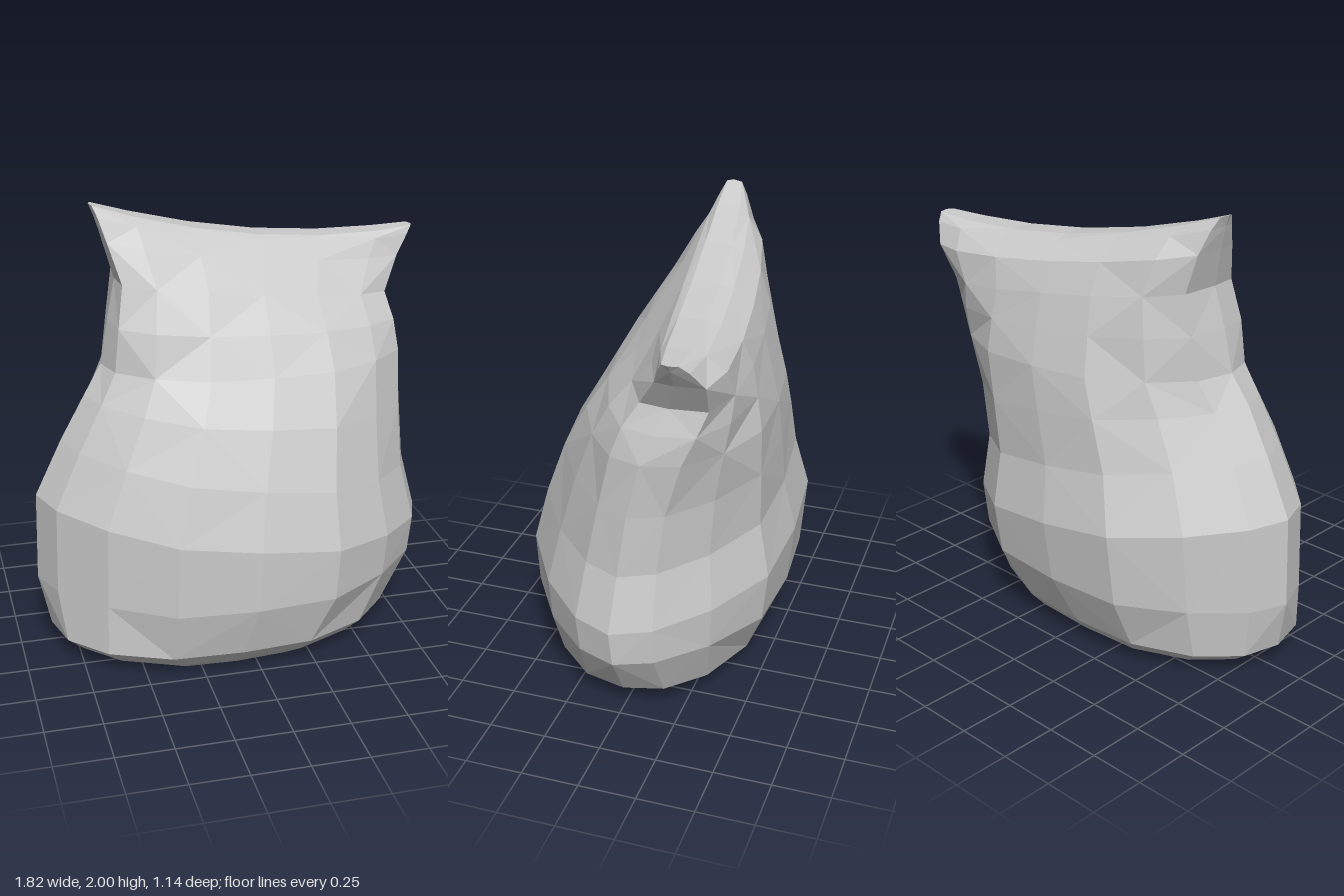
import * as THREE from 'three';

const SIDES = 16;

// Cross-sections, bottom to top:
// [y at right, y at left, mid sag, x right, x left, z of right end, z of left end, front depth, back depth]
const RINGS = [
  [0.02, 0.02, 0.00, -0.60, 0.44, 0.00, 0.00, 0.04, 0.04],
  [0.00, 0.00, 0.00, -0.66, 0.48, 0.03, 0.01, 0.38, 0.36],
  [0.04, 0.04, 0.00, -0.78, 0.62, 0.03, 0.01, 0.43, 0.41],
  [0.10, 0.10, 0.00, -0.86, 0.70, 0.02, 0.00, 0.49, 0.45],
  [0.33, 0.33, 0.00, -0.91, 0.855, 0.00, -0.01, 0.57, 0.535],
  [0.73, 0.49, 0.00, -0.90, 0.87, 0.00, 0.00, 0.57, 0.57],
  [0.98, 0.74, 0.00, -0.78, 0.81, 0.00, -0.02, 0.515, 0.51],
  [1.18, 1.02, 0.00, -0.67, 0.80, 0.00, -0.06, 0.44, 0.485],
  [1.31, 1.27, 0.00, -0.59, 0.80, -0.02, -0.12, 0.365, 0.435],
  [1.50, 1.40, 0.00, -0.555, 0.775, -0.03, -0.17, 0.30, 0.37],
  [1.68, 1.51, 0.00, -0.515, 0.74, -0.05, -0.22, 0.22, 0.30],
  [1.85, 1.65, 0.03, -0.56, 0.82, -0.07, -0.27, 0.14, 0.22],
  [1.95, 1.735, 0.055, -0.59, 0.88, -0.08, -0.275, 0.085, 0.13],
  [2.00, 1.77, 0.08, -0.61, 0.905, -0.085, -0.275, 0.05, 0.07],
];

// quarter outlines [across, deep], from the side point to the middle
const BASE = [[1, 0], [0.94, 0.38], [0.74, 0.72], [0.4, 0.96], [0, 1]];
const BELLY = [[1, 0], [0.925, 0.3], [0.71, 0.65], [0.4, 0.95], [0, 1]];
const NECK = [[1, 0], [0.985, 0.58], [0.76, 0.85], [0.4, 0.97], [0, 1]];

function ringPoint([yR, yL, sag, xR, xL, zR, zL, front, back], i, r) {
  const k = i % 8 <= 4 ? i % 8 : 8 - (i % 8);
  const low = r < 4 ? BASE[k] : BELLY[k];
  // the upper sections grow squarer, giving blunt ears
  const square = THREE.MathUtils.smoothstep(r, 6.5, 11);
  const c = THREE.MathUtils.lerp(low[0], NECK[k][0], square) * (i > 4 && i < 12 ? -1 : 1);
  const s = THREE.MathUtils.lerp(low[1], NECK[k][1], square);
  const t = (1 + c) / 2;
  return [
    THREE.MathUtils.lerp(xR, xL, t),
    THREE.MathUtils.lerp(yR, yL, t) - sag * (1 - c * c),
    THREE.MathUtils.lerp(zR, zL, t) + s * (i < 8 ? front : -back),
  ];
}

function sackGeometry() {
  const positions = [], index = [];
  const last = RINGS.length - 1;
  RINGS.forEach((ring, r) => {
    for (let i = 0; i < SIDES; i++) positions.push(...ringPoint(ring, i, r));
  });
  // walls, with alternating diagonals for a crumpled cloth look
  for (let r = 0; r < last; r++) {
    for (let i = 0; i < SIDES; i++) {
      const j = (i + 1) % SIDES;
      const a = r * SIDES + i, b = r * SIDES + j, c = a + SIDES, d = b + SIDES;
      if ((i + r) % 2) index.push(a, c, b, b, c, d);
      else index.push(a, c, d, a, d, b);
    }
  }
  // close a ring by bridging its front half to its back half
  const bridge = (start, facingUp) => {
    for (let i = 0; i < SIDES / 2; i++) {
      const f = start + i, f2 = f + 1;
      const k = start + ((SIDES - i) % SIDES), k2 = start + SIDES - i - 1;
      if (facingUp) index.push(f, k, f2, f2, k, k2);
      else index.push(f, f2, k, f2, k2, k);
    }
  };
  bridge(0, false); // lengthwise groove under the base
  bridge(last * SIDES, true); // pinched top seam
  const geometry = new THREE.BufferGeometry();
  geometry.setAttribute('position', new THREE.Float32BufferAttribute(positions, 3));
  geometry.setIndex(index);
  geometry.computeVertexNormals();
  return geometry;
}

export function createModel() {
  const group = new THREE.Group();
  group.name = 'sack';
  const material = new THREE.MeshStandardMaterial({
    color: 0xcccccc, flatShading: true, side: THREE.DoubleSide,
  });
  const body = new THREE.Mesh(sackGeometry(), material);
  body.name = 'sackBody';
  group.add(body);
  return group;
}
